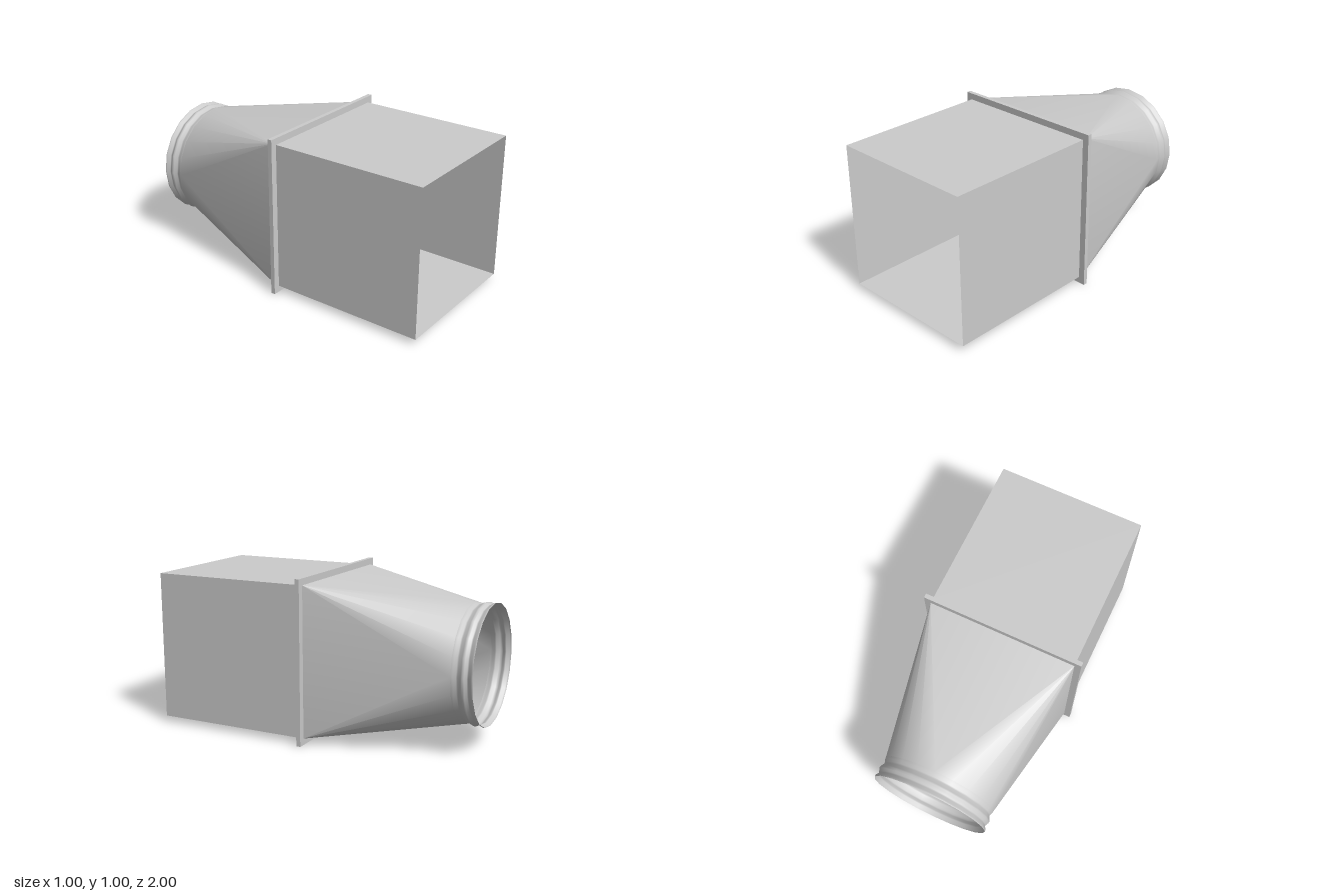
import * as THREE from 'three';
import { toCreasedNormals } from 'three/addons/utils/BufferGeometryUtils.js';

const HALF = 0.46;       // half width of the square duct
const FLANGE = 0.027;    // flange thickness
const NECK_R = 0.36, NECK_Z = -0.87;
const SIDES = 20;

const material = new THREE.MeshStandardMaterial({ color: 0xcccccc, side: THREE.DoubleSide });

function addPart(group, name, geometry) {
  const mesh = new THREE.Mesh(geometry, material);
  mesh.name = name;
  group.add(mesh);
}

// Square outline, used for the duct and the flange
function square(half, Type = THREE.Shape) {
  return new Type([[-1, -1], [1, -1], [1, 1], [-1, 1]].map(([x, y]) => new THREE.Vector2(x * half, y * half)));
}

// Square-to-round sheet: one flat triangle per side and a fan at each corner
function transitionGeometry() {
  const positions = [];
  const rim = i => {
    const a = (i / SIDES) * Math.PI * 2;
    return [NECK_R * Math.cos(a), NECK_R * Math.sin(a), NECK_Z];
  };
  const corner = q => {
    const a = Math.PI / 4 + (q * Math.PI) / 2;
    return [HALF * Math.SQRT2 * Math.cos(a), HALF * Math.SQRT2 * Math.sin(a), 0];
  };
  const step = SIDES / 4;
  for (let q = 0; q < 4; q++) {
    for (let i = q * step; i < (q + 1) * step; i++) {
      positions.push(...corner(q), ...rim(i + 1), ...rim(i));
    }
    positions.push(...corner(q), ...corner(q + 1), ...rim((q + 1) * step));
  }
  const geometry = new THREE.BufferGeometry();
  geometry.setAttribute('position', new THREE.Float32BufferAttribute(positions, 3));
  return toCreasedNormals(geometry, 0.4);
}

export function createModel() {
  const group = new THREE.Group();
  group.name = 'ductAdapter';
  const body = new THREE.Group();
  body.name = 'body';
  body.position.y = 0.5;
  group.add(body);

  // Open square duct: four thin walls facing outwards
  for (let i = 0; i < 4; i++) {
    const wall = new THREE.PlaneGeometry(HALF * 2, 1 - FLANGE);
    wall.rotateX(-Math.PI / 2);
    wall.translate(0, HALF, (1 + FLANGE) / 2);
    wall.rotateZ((i * Math.PI) / 2);
    addPart(body, 'ductWall', wall);
  }

  // Square flange frame
  const frame = square(0.5);
  frame.holes.push(square(HALF, THREE.Path));
  addPart(body, 'flange', new THREE.ExtrudeGeometry(frame, { depth: FLANGE, bevelEnabled: false }));

  // Tapered square-to-round section
  addPart(body, 'transition', transitionGeometry());

  // Ribbed round collar at the back
  const profile = [
    [NECK_R, 0.87], [0.358, 0.885], [0.351, 0.9], [0.351, 0.91], [0.362, 0.93], [0.365, 0.94],
    [0.362, 0.95], [0.352, 0.963], [0.352, 0.972], [0.365, 0.99], [0.365, 1],
  ].map(([r, d]) => new THREE.Vector2(r, d));
  const collar = new THREE.LatheGeometry(profile, SIDES);
  collar.rotateX(-Math.PI / 2);
  addPart(body, 'collar', collar);

  return group;
}
